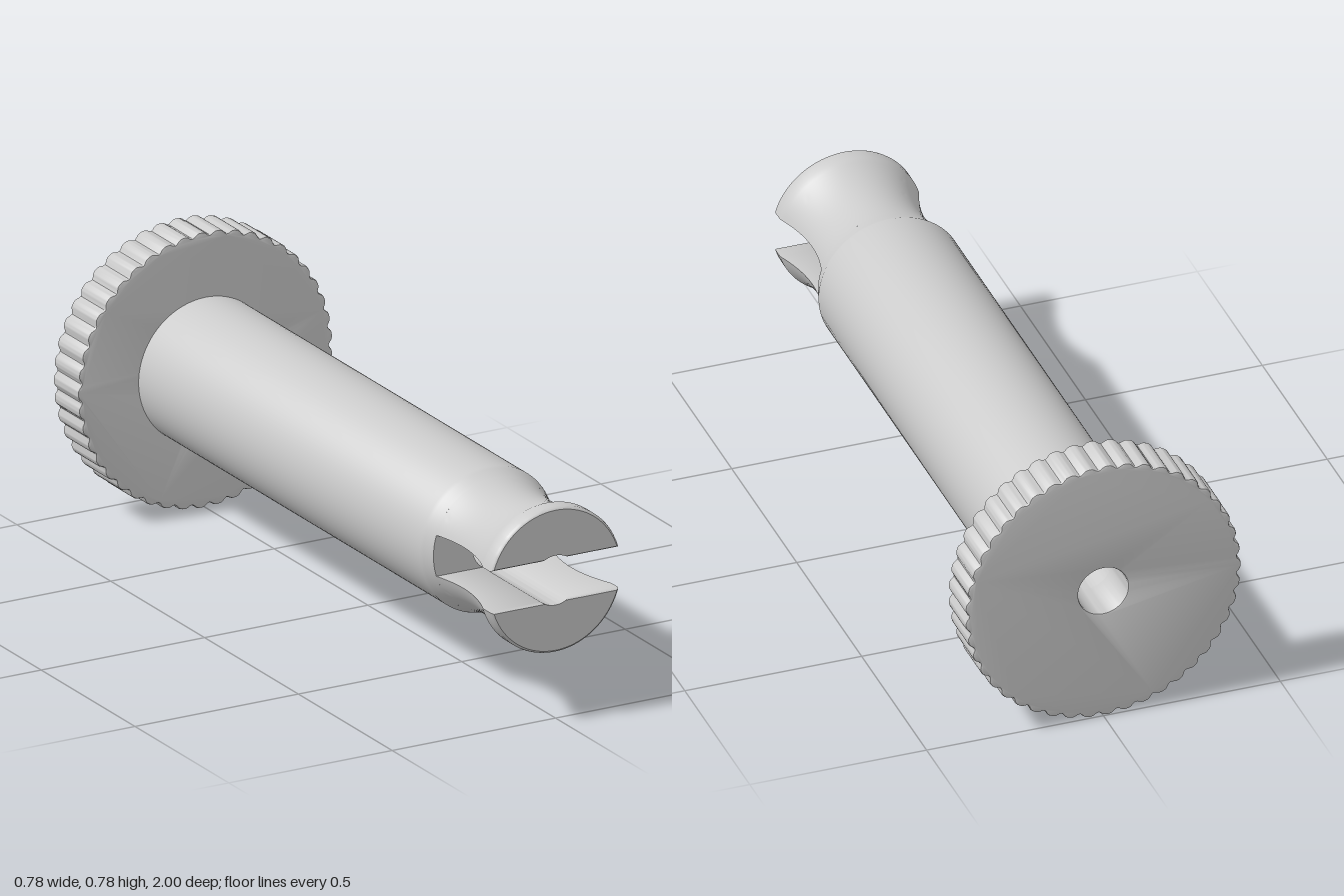
import * as THREE from 'three';
import { toCreasedNormals } from 'three/addons/utils/BufferGeometryUtils.js';

const BODY = 0.205, BORE = 0.07, SLOT = 0.058, FLOOR = 0.68;
const NECK_START = 0.635, NECK_END = 0.955, NECK_DEPTH = 0.031;

// Outer radius of the shaft along its length: straight, then a waisted neck, then the tip
function radiusAt(z) {
  if (z <= NECK_START || z >= NECK_END) return BODY;
  const half = (NECK_END - NECK_START) / 2;
  const u = (z - NECK_START - half) / half;
  return BODY - NECK_DEPTH * (1 - u * u);
}

// Knurled knob with a through hole
function knobGeometry() {
  const teeth = 45, perTooth = 10, count = teeth * perTooth, bevel = 0.006;
  const pts = [];
  for (let i = 0; i < count; i++) {
    const a = (i / count) * Math.PI * 2;
    const notch = Math.pow((1 - Math.cos((a - Math.PI) * teeth)) / 2, 2);
    const r = 0.39 - 0.011 * notch;
    pts.push(new THREE.Vector2(r * Math.cos(a), r * Math.sin(a)));
  }
  const shape = new THREE.Shape(pts);
  shape.holes.push(new THREE.Path().absarc(0, 0, BORE, 0, Math.PI * 2, true));
  const g = new THREE.ExtrudeGeometry(shape, {
    depth: 0.135 - 2 * bevel, bevelEnabled: true, bevelSize: bevel, bevelThickness: bevel,
    bevelOffset: -bevel, bevelSegments: 2, curveSegments: 24,
  });
  g.translate(0, 0, -1 + bevel);
  return toCreasedNormals(g, 0.7);
}

// Hollow shaft up to the floor of the slot
function shaftGeometry() {
  const pts = [[BODY, -0.87], [BODY, NECK_START]];
  for (let i = 1; i <= 4; i++) {
    const z = NECK_START + (FLOOR - NECK_START) * i / 4;
    pts.push([radiusAt(z), z]);
  }
  pts.push([BORE, FLOOR], [BORE, -0.87]);
  const g = new THREE.LatheGeometry(pts.map(p => new THREE.Vector2(...p)), 96);
  g.rotateX(Math.PI / 2);
  return toCreasedNormals(g, 0.6);
}

// Cross-section of the upper prong: outer arc, then slot face with the bore groove
function prongSection(r, slot, z, n) {
  const a0 = Math.asin(slot / r), b0 = Math.asin(slot / BORE);
  const outer = [], inner = [];
  for (let i = 0; i <= n; i++) {
    const a = a0 + (Math.PI - 2 * a0) * i / n;
    outer.push([r * Math.cos(a), r * Math.sin(a), z]);
    const b = b0 + (Math.PI - 2 * b0) * (i - 1) / (n - 2);
    inner.push(i === 0 || i === n ? outer[i] : [BORE * Math.cos(b), BORE * Math.sin(b), z]);
  }
  return { outer, inner };
}

function prongGeometry() {
  const n = 40, sections = [];
  for (let i = 0; i <= 20; i++) {
    const z = FLOOR + (NECK_END - FLOOR) * i / 20;
    sections.push(prongSection(radiusAt(z), SLOT, z, n));
  }
  // softly rounded tip
  for (const [inset, z] of [[0, 0.99], [0.002, 0.996], [0.007, 1]])
    sections.push(prongSection(BODY - inset, SLOT + inset * 0.6, z, n));

  const pos = [];
  const quad = (a, b, c, d) => pos.push(...a, ...b, ...c, ...a, ...c, ...d);
  for (let s = 0; s < sections.length - 1; s++) {
    const p = sections[s], q = sections[s + 1];
    for (let i = 0; i < n; i++) {
      quad(p.outer[i], p.outer[i + 1], q.outer[i + 1], q.outer[i]);
      quad(p.inner[i + 1], p.inner[i], q.inner[i], q.inner[i + 1]);
    }
  }
  // flat end face
  const tip = sections[sections.length - 1];
  for (let i = 0; i < n; i++)
    quad(tip.inner[i], tip.outer[i], tip.outer[i + 1], tip.inner[i + 1]);

  const g = new THREE.BufferGeometry();
  g.setAttribute('position', new THREE.Float32BufferAttribute(pos, 3));
  return toCreasedNormals(g, 0.6);
}

export function createModel() {
  const model = new THREE.Group();
  model.name = 'slottedThumbPin';
  const material = new THREE.MeshStandardMaterial({ color: 0xcccccc });
  const add = (name, geometry) => {
    const mesh = new THREE.Mesh(geometry, material);
    mesh.name = name;
    mesh.position.y = 0.39;
    model.add(mesh);
    return mesh;
  };
  add('knurledKnob', knobGeometry());
  add('shaft', shaftGeometry());
  const prong = prongGeometry();
  add('upperProng', prong);
  add('lowerProng', prong).rotation.z = Math.PI;
  return model;
}
